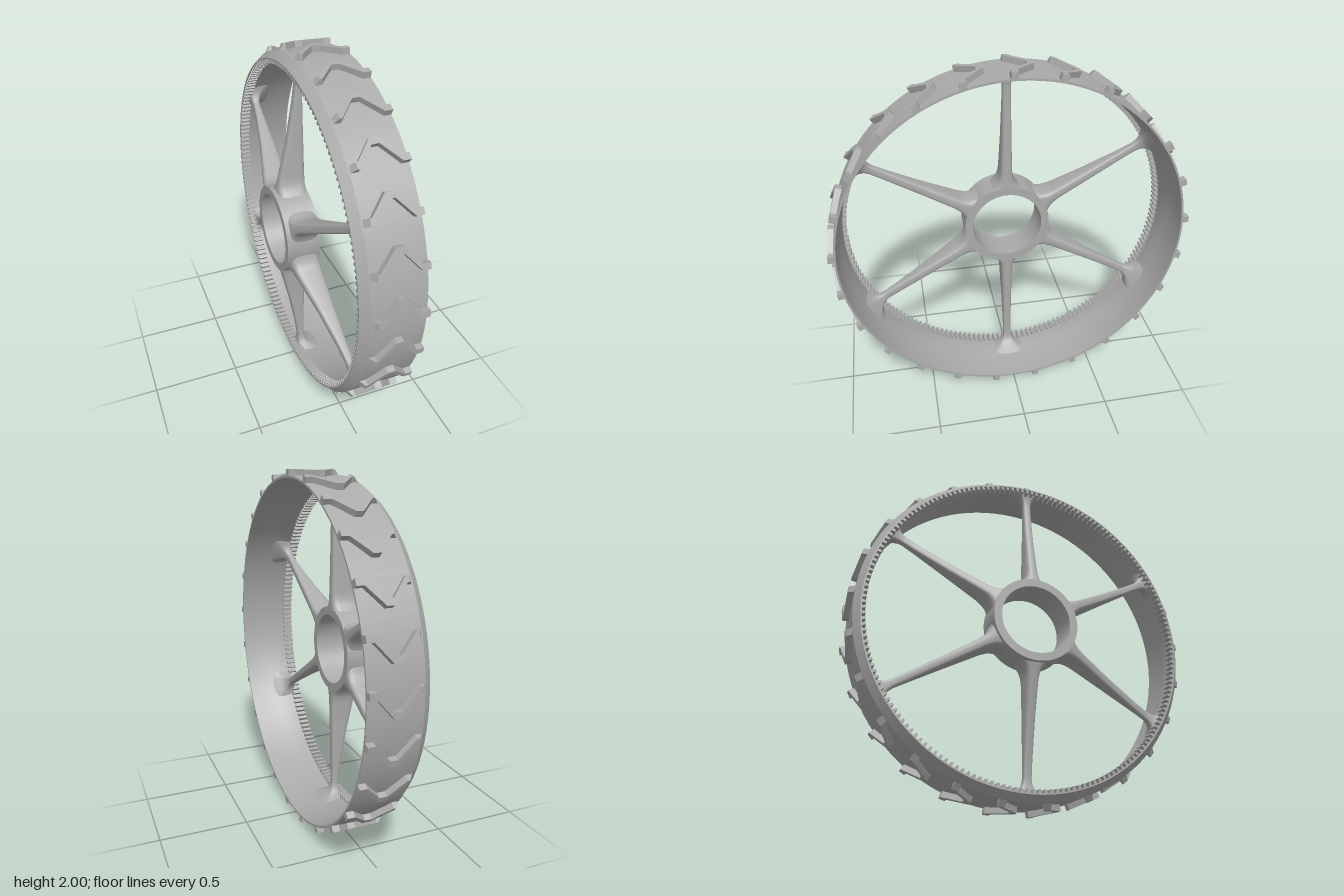
import * as THREE from 'three';
import { mergeGeometries, toCreasedNormals } from 'three/addons/utils/BufferGeometryUtils.js';

const LUGS = 25, TEETH = 180, SPOKES = 6;

// Closed ring around the x axis from counter-clockwise [radius, x] points
function ring(profile, segments) {
  const pts = [...profile, profile[0]].map(([r, x]) => new THREE.Vector2(r, x));
  const g = new THREE.LatheGeometry(pts, segments);
  g.rotateZ(-Math.PI / 2);
  return toCreasedNormals(g, 0.45);
}

// Repeat a geometry around the x axis
function around(geometry, count, start = 0) {
  const copies = [];
  for (let i = 0; i < count; i++) {
    copies.push(geometry.clone().rotateX(-start - (i / count) * Math.PI * 2));
  }
  return mergeGeometries(copies);
}

// Rounded-box cross-sections along y; each row is [radius, back x, front x, half width]
function spokeGeometry() {
  const rows = [
    [0.215, -0.198, -0.03, 0.095], [0.245, -0.193, -0.03, 0.068], [0.265, -0.188, -0.031, 0.052],
    [0.29, -0.183, -0.031, 0.041], [0.33, -0.174, -0.032, 0.034], [0.54, -0.127, -0.036, 0.028],
    [0.75, -0.09, -0.04, 0.024], [0.84, -0.08, -0.04, 0.023], [0.87, -0.08, -0.034, 0.027],
    [0.895, -0.083, -0.022, 0.04], [0.912, -0.086, 0, 0.06], [0.925, -0.09, 0.025, 0.09],
    [0.94, -0.095, 0.05, 0.12],
  ];
  const n = 24, pos = [], idx = [];
  const soft = (v) => Math.sign(v) * Math.pow(Math.abs(v), 0.55);
  rows.forEach(([r, back, front, w], i) => {
    for (let j = 0; j < n; j++) {
      const a = (j / n) * Math.PI * 2;
      pos.push((back + front) / 2 + ((front - back) / 2) * soft(Math.cos(a)), r, w * soft(Math.sin(a)));
      if (i === rows.length - 1) continue;
      const p = i * n + j, q = i * n + ((j + 1) % n);
      idx.push(p, p + n, q, q, p + n, q + n);
    }
  });
  const g = new THREE.BufferGeometry();
  g.setAttribute('position', new THREE.Float32BufferAttribute(pos, 3));
  g.setIndex(idx);
  g.computeVertexNormals();
  return g;
}

// Chevron tread block, bevelled on the closed side of the wheel
function lugGeometry() {
  const lower = [[-0.08, -0.068], [-0.04, -0.068], [0.045, 0.032], [0.085, 0.032], [0.17, -0.068], [0.21, -0.068]];
  const upper = lower.map(([x, s]) => [x, s + 0.036]).reverse();
  const shape = new THREE.Shape([...lower, ...upper].map(([x, s]) => new THREE.Vector2(x, s)));
  const g = new THREE.ExtrudeGeometry(shape, { depth: 0.04, bevelEnabled: false });
  const p = g.attributes.position;
  for (let i = 0; i < p.count; i++) {
    if (p.getX(i) < -0.07 && p.getZ(i) > 0.02) p.setX(i, -0.052);
  }
  g.translate(0, 0, 0.957);
  g.computeVertexNormals();
  return g;
}

// Inward gear tooth, narrower at the tip
function toothGeometry() {
  const g = new THREE.BoxGeometry(0.056, 0.026, 0.019);
  const p = g.attributes.position;
  for (let i = 0; i < p.count; i++) if (p.getY(i) < 0) p.setZ(i, p.getZ(i) * 0.6);
  g.translate(-0.095, 0.917, 0);
  g.computeVertexNormals();
  return g;
}

export function createModel() {
  const grey = new THREE.MeshStandardMaterial({ color: 0xaaaaaa });
  grey.name = 'grey';
  const wheel = new THREE.Group();
  wheel.name = 'wheel';
  const add = (name, geometry) => {
    const mesh = new THREE.Mesh(geometry, grey);
    mesh.name = name;
    mesh.position.y = 1;
    wheel.add(mesh);
    return mesh;
  };

  // Rim: bevelled closed edge, bowl-shaped inside opening toward +x
  add('rim', ring([
    [0.925, -0.125], [0.932, -0.125], [0.966, -0.082], [0.966, 0.21], [0.955, 0.21],
    [0.952, 0.15], [0.946, 0.09], [0.938, 0.04], [0.93, 0], [0.926, -0.05],
  ], 100));
  add('treadLugs', around(lugGeometry(), LUGS, THREE.MathUtils.degToRad(6)));
  add('ringGear', around(toothGeometry(), TEETH, Math.PI / TEETH));

  // Hub with open bore
  add('hub', ring([[0.2, -0.215], [0.245, -0.215], [0.245, -0.03], [0.2, -0.03]], 64));

  // Spokes, deep at the hub and flared into the rim
  const spoke = spokeGeometry();
  for (let i = 0; i < SPOKES; i++) {
    add('spoke' + (i + 1), spoke).rotation.x = (i / SPOKES) * Math.PI * 2;
  }
  return wheel;
}
